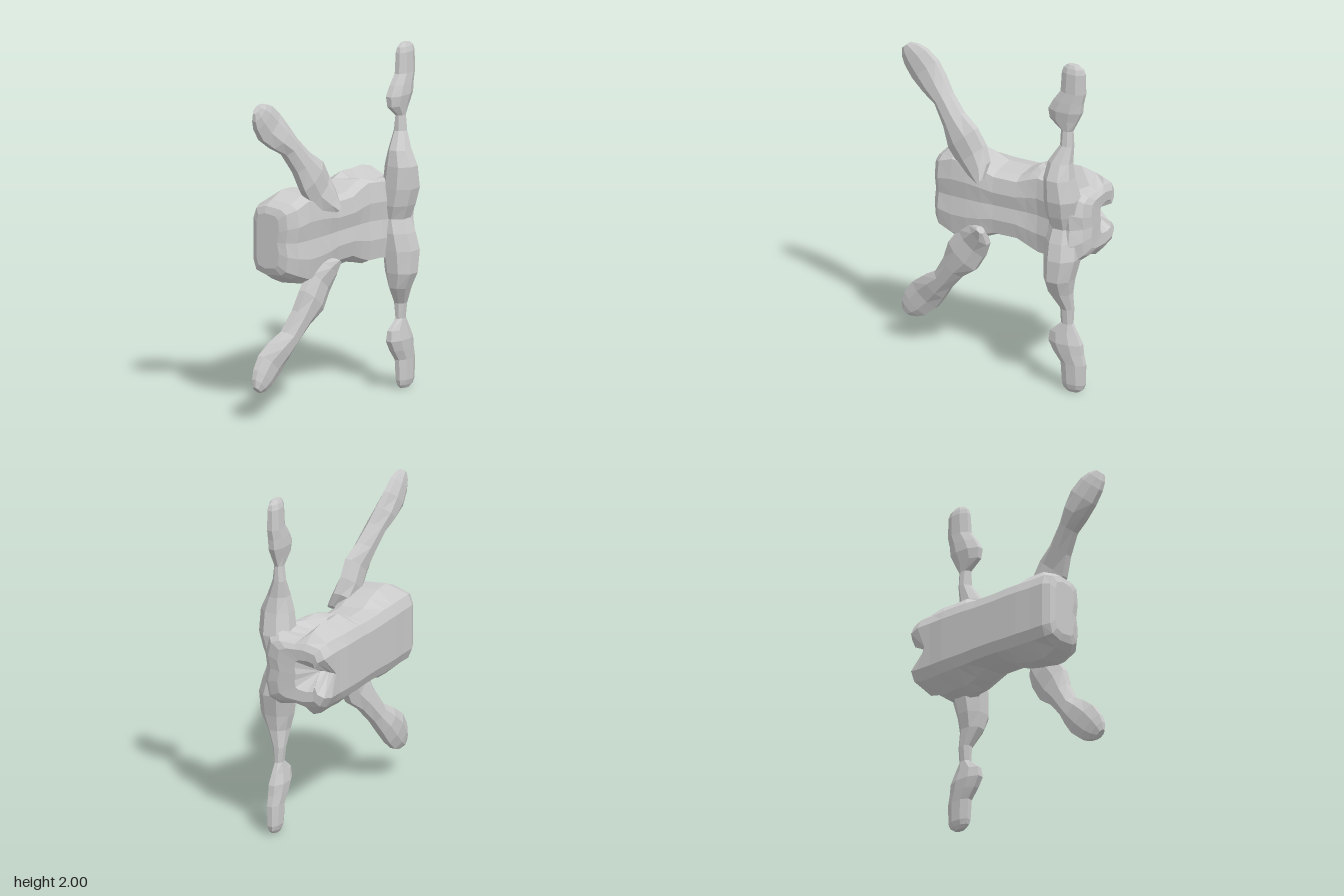
import * as THREE from 'three';

const material = new THREE.MeshStandardMaterial({ color: 0xcccccc, flatShading: true });

// Skin a list of rings (counter-clockwise seen from the far end) and close both ends.
function loft(name, rings, startCap, endCap) {
  const n = rings[0].length;
  const positions = [startCap, ...rings.flat(), endCap].flat();
  const last = 1 + rings.length * n;
  const index = [];
  for (let j = 0; j < n; j++) {
    const k = (j + 1) % n;
    index.push(0, 1 + k, 1 + j);
    for (let i = 0; i < rings.length - 1; i++) {
      const a = 1 + i * n + j, b = 1 + i * n + k;
      index.push(a, b, b + n, a, b + n, a + n);
    }
    index.push(last - n + j, last - n + k, last);
  }
  const geometry = new THREE.BufferGeometry();
  geometry.setAttribute('position', new THREE.Float32BufferAttribute(positions, 3));
  geometry.setIndex(index);
  geometry.computeVertexNormals();
  const mesh = new THREE.Mesh(geometry, material);
  mesh.name = name;
  return mesh;
}

// Torso: x, half height, back z, front z, depth of the shoulder groove, notch in the end.
function createBody() {
  const stations = [
    [-0.42, 0.16, -0.19, -0.03, 0, 0],
    [-0.405, 0.20, -0.22, 0.02, 0, 0],
    [-0.36, 0.23, -0.24, 0.07, 0, 0],
    [-0.27, 0.27, -0.24, 0.08, 0, 0],
    [-0.17, 0.265, -0.245, 0.085, 0, 0],
    [-0.08, 0.24, -0.245, 0.085, 0, 0],
    [0.0, 0.205, -0.245, 0.08, 0, 0],
    [0.15, 0.205, -0.245, 0.08, 0, 0],
    [0.22, 0.24, -0.245, 0.08, 0, 0],
    [0.29, 0.27, -0.245, 0.085, 0.03, 0],
    [0.38, 0.265, -0.245, 0.11, 0.08, 0],
    [0.47, 0.27, -0.24, 0.18, 0.08, 0],
    [0.56, 0.25, -0.24, 0.195, 0.05, 0.05],
    [0.62, 0.19, -0.225, 0.14, 0.01, 0.11],
    [0.64, 0.155, -0.19, 0.07, 0, 0.13],
  ];
  const rings = stations.map(([x, h, zb, zf, groove, notch]) => {
    const b = Math.min(0.19, h * 0.9);
    const span = zf - zb;
    const half = [
      [b * 0.68, zb],
      [b, zb + span * 0.08],
      [h, zb + Math.min(0.12, span * 0.37)],
      [h * 0.98 - groove, zb + Math.min(0.19, span * 0.55)],
      [h * 0.95 - groove * 0.3, zb + span * 0.8],
      [h * 0.83, zf - span * 0.05],
      [h * 0.4, zf],
    ];
    return [
      [x - notch, 1, zb],
      ...half.map(([y, z]) => [x, 1 + y, z]),
      [x, 1, zf - 0.015],
      ...half.slice().reverse().map(([y, z]) => [x, 1 - y, z]),
    ];
  });
  // Inner rim of the hollow in the end, which opens towards the back
  rings.push(rings[rings.length - 1].map(([x, y, z]) =>
    [x - 0.005, 1 + (y - 1) * 0.6, -0.15 + (z + 0.15) * 0.5]));
  return loft('body', rings, [-0.42, 1, -0.11], [0.515, 1, -0.14]);
}

// Limb rows: x, height from the middle line, z, half width, half depth.
function createLimb(name, rows, side, dx, dy) {
  const sides = 8;
  const u = [-dy * side, dx];
  const rings = rows.map(([x, y, z, w, d]) =>
    Array.from({ length: sides }, (_, j) => {
      const a = ((j + 0.5) / sides) * Math.PI * 2;
      const c = (Math.cos(a) * w) / Math.cos(Math.PI / sides);
      const s = (Math.sin(a) * d) / Math.cos(Math.PI / sides);
      return [x + u[0] * c, 1 + side * y + u[1] * c, z + s];
    }));
  const centre = ([x, y, z]) => [x, 1 + side * y, z];
  return loft(name, rings, centre(rows[0]), centre(rows[rows.length - 1]));
}

const frontLeg = [
  [0.49, 0.0, 0.1, 0.08, 0.09],
  [0.49, 0.08, 0.125, 0.095, 0.095],
  [0.495, 0.18, 0.145, 0.1, 0.1],
  [0.482, 0.31, 0.155, 0.082, 0.09],
  [0.483, 0.4, 0.145, 0.068, 0.06],
  [0.515, 0.5, 0.125, 0.038, 0.035],
  [0.515, 0.59, 0.125, 0.035, 0.025],
  [0.495, 0.65, 0.125, 0.085, 0.035],
  [0.505, 0.71, 0.125, 0.103, 0.045],
  [0.525, 0.77, 0.125, 0.09, 0.042],
  [0.555, 0.83, 0.125, 0.075, 0.037],
  [0.558, 0.95, 0.125, 0.07, 0.034],
  [0.557, 0.98, 0.125, 0.06, 0.026],
  [0.555, 1.0, 0.125, 0.035, 0.016],
];

const rearLeg = [
  [-0.06, 0.15, 0.105, 0.025, 0.03],
  [-0.09, 0.2, 0.06, 0.075, 0.055],
  [-0.15, 0.27, 0.04, 0.105, 0.05],
  [-0.21, 0.36, 0.04, 0.11, 0.05],
  [-0.28, 0.45, 0.02, 0.075, 0.052],
  [-0.36, 0.555, -0.005, 0.063, 0.053],
  [-0.43, 0.62, -0.025, 0.085, 0.055],
  [-0.5, 0.69, -0.04, 0.1, 0.045],
  [-0.56, 0.755, -0.04, 0.088, 0.038],
  [-0.595, 0.79, -0.038, 0.065, 0.03],
  [-0.62, 0.815, -0.036, 0.033, 0.018],
];

export function createModel() {
  const group = new THREE.Group();
  group.name = 'model';
  group.add(createBody());
  // Each pair is mirrored about the middle height
  for (const side of [1, -1]) {
    const label = side > 0 ? 'upper' : 'lower';
    group.add(createLimb(label + 'FrontLeg', frontLeg, side, 0, 1));
    group.add(createLimb(label + 'RearLeg', rearLeg, side, -0.64, 0.77));
  }
  return group;
}
